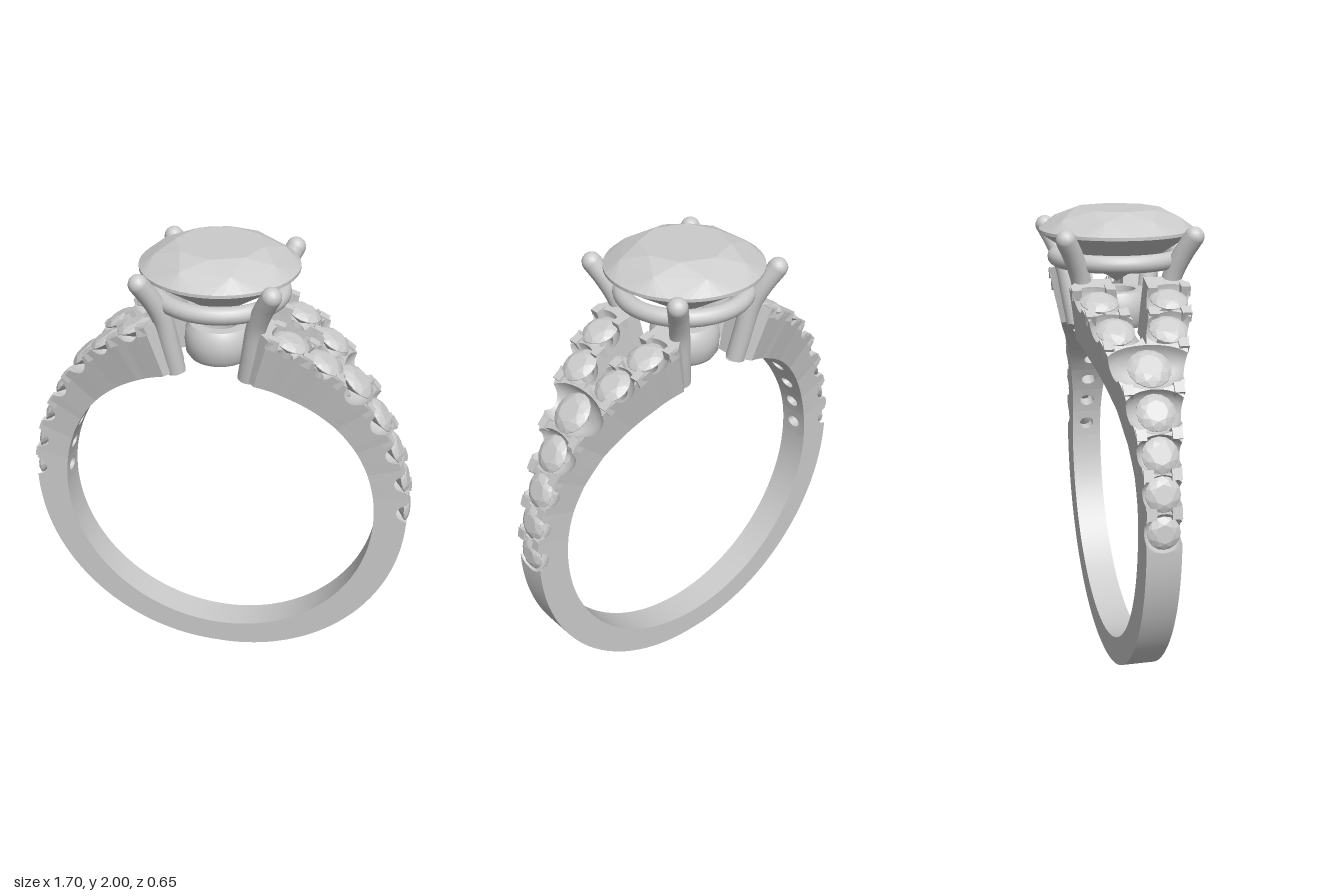
import * as THREE from 'three';
import { toCreasedNormals } from 'three/addons/utils/BufferGeometryUtils.js';
import { ConvexGeometry } from 'three/addons/geometries/ConvexGeometry.js';

const metal = new THREE.MeshStandardMaterial({ color: 0xcccccc, side: THREE.DoubleSide });
const gemMaterial = new THREE.MeshStandardMaterial({ color: 0xcccccc, flatShading: true });
const CENTRE = 0.81, INNER = 0.7;

// piecewise interpolation through [angle, value] pairs
const table = (pairs) => (a) => {
  if (a <= pairs[0][0]) return pairs[0][1];
  for (let i = 1; i < pairs.length; i++) {
    const [a0, v0] = pairs[i - 1], [a1, v1] = pairs[i];
    if (a <= a1) return v0 + (v1 - v0) * (a - a0) / (a1 - a0);
  }
  return pairs[pairs.length - 1][1];
};
// angles are measured from the top of the ring
const outerR = table([[0.2, 0.945], [0.27, 0.94], [0.52, 0.908], [0.75, 0.877], [1.1, 0.85], [1.57, 0.84], [Math.PI, 0.81]]);
const halfWidth = table([[0.2, 0.2], [0.27, 0.25], [0.455, 0.215], [0.63, 0.17], [0.845, 0.12], [1.05, 0.09], [1.23, 0.075], [1.4, 0.07]]);
const gap = table([[0.27, 0.07], [0.455, 0.04], [0.63, 0]]);

function place(a, r, z) {
  // the walls of the split shoulders lean in towards the finger
  const lean = 0.16 * THREE.MathUtils.clamp((1 - a) / 0.6, 0, 1);
  const k = 1 - lean * THREE.MathUtils.clamp((outerR(a) - r) / (outerR(a) - INNER), 0, 1);
  return [r * Math.sin(a), CENTRE + r * Math.cos(a), z * k];
}

function add(parent, name, geometry, material = metal) {
  const mesh = new THREE.Mesh(geometry, material);
  mesh.name = name;
  parent.add(mesh);
  return mesh;
}

// block of shank between two angles, with a drilled hole and a scooped stone seat
function seatBlock(a0, a1, lo, hi, holeRadius, scoop) {
  const n = 14, mid = (a0 + a1) / 2, hu = (a1 - a0) / 2;
  const su = hu * outerR(mid), sv = (hi(mid) - lo(mid)) / 2;
  const corners = [[-1, -1], [1, -1], [1, 1], [-1, 1]];
  const pos = [], index = [];
  let rows = 0;
  for (let j = 0; j < 4 * n; j++) {
    const s = Math.floor(j / n), f = (j % n) / n, c = corners[s], d = corners[(s + 1) % 4];
    const ub = c[0] + (d[0] - c[0]) * f, vb = c[1] + (d[1] - c[1]) * f;
    const E = Math.sqrt(ub * ub + vb * vb / 1.4);
    const rim = Math.min(1, 1 / E), hole = holeRadius / Math.hypot(ub * su, vb * sv);
    const point = (t, top) => {
      const a = mid + ub * t * hu, v = (vb * t + 1) / 2;
      const depth = scoop * Math.sqrt(Math.max(0, 1 - (E * t) ** 2));
      return place(a, top ? outerR(a) - depth : INNER, lo(a) + (hi(a) - lo(a)) * v);
    };
    const column = [point(hole, false), point(1, false), point(1, true)];
    for (const k of [0, 0.04, 0.15, 0.35, 0.65, 1]) column.push(point(rim + (hole - rim) * k, true));
    column.push(point(hole, false));
    rows = column.length;
    pos.push(...column.flat());
  }
  for (let j = 0; j < 4 * n; j++) for (let k = 0; k < rows - 1; k++) {
    const a = j * rows + k, b = ((j + 1) % (4 * n)) * rows + k;
    index.push(a, a + 1, b, b, a + 1, b + 1);
  }
  const g = new THREE.BufferGeometry();
  g.setAttribute('position', new THREE.Float32BufferAttribute(pos, 3));
  g.setIndex(index);
  return toCreasedNormals(g, 0.6);
}

// round brilliant: girdle on y = 0, table up
function gem(r, girdleSides) {
  const pts = [];
  const ring = (radius, y, n, turn) => {
    for (let i = 0; i < n; i++) {
      const t = (i + turn) / n * Math.PI * 2;
      pts.push(new THREE.Vector3(radius * r * Math.cos(t), y * r, radius * r * Math.sin(t)));
    }
  };
  ring(0.56, 0.277, 8, 0);
  ring(0.82, 0.17, 8, 0.5);
  ring(1, 0.02, girdleSides, 0);
  ring(1, -0.02, girdleSides, 0);
  ring(0.3, -0.48, 8, 0.5);
  pts.push(new THREE.Vector3(0, -0.67 * r, 0));
  return new ConvexGeometry(pts);
}

function shoulder() {
  const side = new THREE.Group();
  const edges = [1.59, 1.405, 1.23, 1.05, 0.845, 0.63, 0.455, 0.27, 0.2];
  const radii = [0.066, 0.07, 0.072, 0.077, 0.087, 0.077, 0.077];
  const w = halfWidth, minus = (f) => (a) => -f(a);
  const addStone = (a, z, r) => {
    const stone = add(side, 'accentStone', gem(r, 16), gemMaterial);
    stone.position.set(...place(a, outerR(a) - 0.012, z));
    stone.rotation.z = -a;
  };
  const addClaw = (a, z) => {
    const claw = add(side, 'accentClaw', new THREE.BoxGeometry(0.045, 0.045, 0.04));
    claw.position.set(...place(a, outerR(a) - 0.014, z));
    claw.rotation.z = -a;
  };
  for (let i = 0; i < 8; i++) {
    const a1 = edges[i], a0 = edges[i + 1], mid = (a0 + a1) / 2;
    if (i < 5) {
      add(side, 'shankSeat', seatBlock(a0, a1, minus(w), w, 0.034, 0.085));
      addStone(mid, 0, radii[i]);
    } else {
      // split arms, mirrored front to back
      const plain = i === 7, h = plain ? 0.001 : 0.036, d = plain ? 0 : 0.085;
      add(side, 'splitArm', seatBlock(a0, a1, gap, w, h, d));
      add(side, 'splitArm', seatBlock(a0, a1, minus(w), minus(gap), h, d));
      if (!plain) for (const s of [-1, 1]) addStone(mid, s * (w(mid) + gap(mid)) / 2, radii[i]);
    }
    // claws at the corners between stones
    if (i > 0) for (const s of [-1, 1]) {
      const a = i === 7 ? a1 + 0.02 : a1;
      addClaw(a, s * (w(a) - 0.02));
      if (i > 5) addClaw(a, s * (gap(a) + 0.02));
    }
  }
  return side;
}

export function createModel() {
  const ring = new THREE.Group();
  ring.name = 'solitaireRing';

  // plain lower band
  const outline = [], start = 1.59, steps = 80;
  const arc = (radius, forward) => {
    for (let i = 0; i <= steps; i++) {
      const a = start + (forward ? i : steps - i) / steps * 2 * (Math.PI - start);
      const r = radius(a > Math.PI ? 2 * Math.PI - a : a);
      outline.push(new THREE.Vector2(r * Math.sin(a), CENTRE + r * Math.cos(a)));
    }
  };
  arc(outerR, true);
  arc(() => INNER, false);
  const band = new THREE.ExtrudeGeometry(new THREE.Shape(outline), { depth: 0.14, bevelEnabled: false });
  band.translate(0, 0, -0.07);
  add(ring, 'lowerBand', toCreasedNormals(band, 0.5));

  // stone-set shoulders
  const left = shoulder(), right = shoulder();
  left.name = 'leftShoulder';
  right.name = 'rightShoulder';
  right.rotation.y = Math.PI;
  ring.add(left, right);

  // head: base collar, gallery rail, four claws and the centre stone
  const collar = [[0.08, 1.51], [0.125, 1.51], [0.142, 1.535], [0.147, 1.585], [0.142, 1.635], [0.125, 1.66], [0.08, 1.66], [0.08, 1.51]];
  add(ring, 'baseCollar', toCreasedNormals(new THREE.LatheGeometry(collar.map((p) => new THREE.Vector2(...p)), 48), 0.7));
  const rail = add(ring, 'galleryRail', new THREE.TorusGeometry(0.255, 0.036, 16, 64));
  rail.rotation.x = Math.PI / 2;
  rail.position.y = 1.8;
  for (const sx of [-1, 1]) for (const sz of [-1, 1]) {
    const path = [[0.15, 1.49], [0.168, 1.6], [0.192, 1.74], [0.225, 1.83], [0.262, 1.905]]
      .map(([d, y]) => new THREE.Vector3(sx * d, y, sz * d));
    add(ring, 'claw', new THREE.TubeGeometry(new THREE.CatmullRomCurve3(path), 24, 0.041, 16));
    add(ring, 'clawTip', new THREE.SphereGeometry(0.041, 16, 12)).position.copy(path[4]);
    const foot = add(ring, 'clawFoot', new THREE.CircleGeometry(0.041, 16));
    foot.position.copy(path[0]);
    foot.rotation.x = Math.PI / 2;
  }
  add(ring, 'centreStone', gem(0.325, 48), gemMaterial).position.y = 1.91;
  return ring;
}
